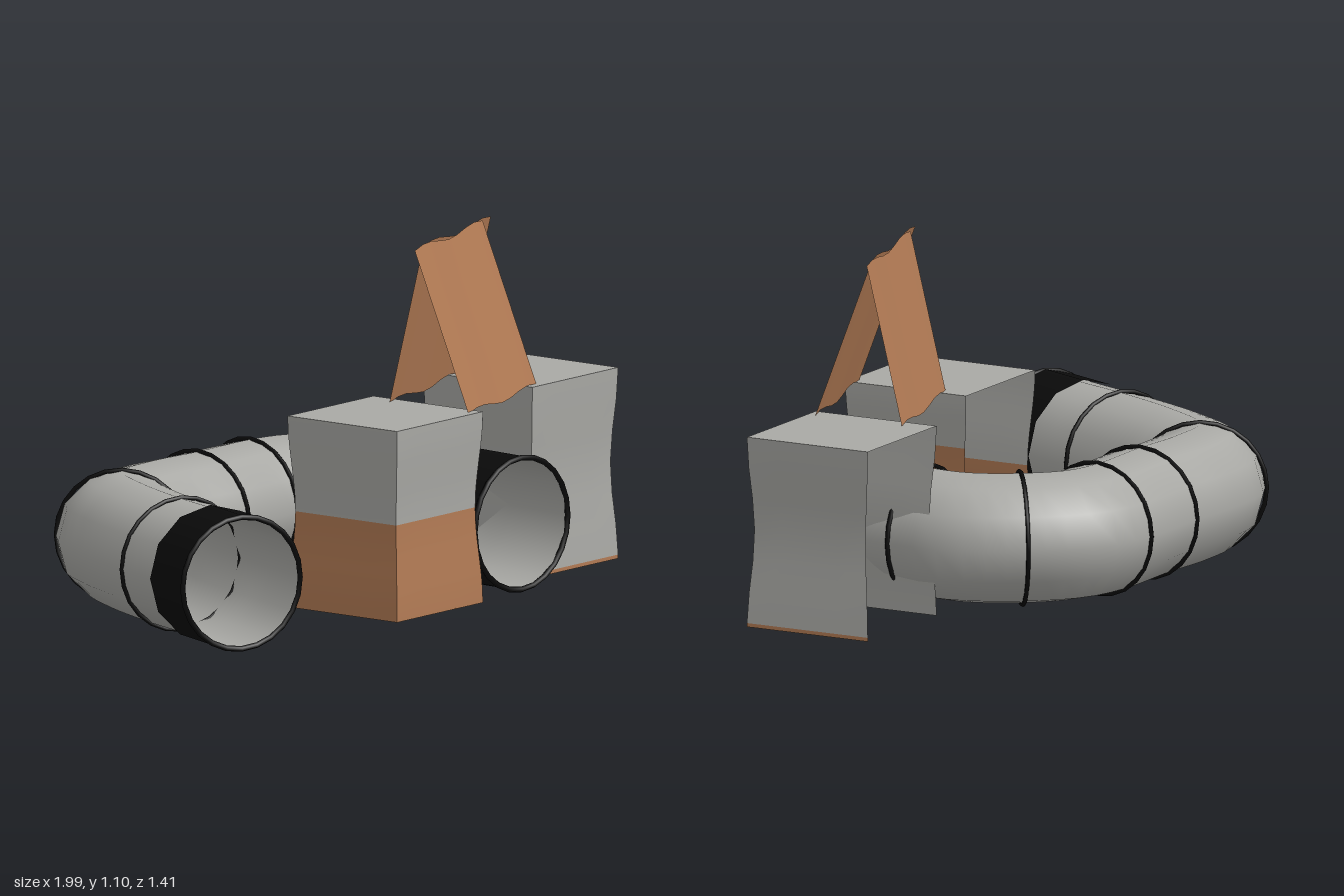
import * as THREE from 'three';

const DS = THREE.DoubleSide;
const grey = new THREE.MeshStandardMaterial({ color: 0xa9a9a5, side: DS, name: 'grey fabric' });
const orange = new THREE.MeshStandardMaterial({ color: 0xb17a54, side: DS, name: 'orange fabric' });
const black = new THREE.MeshStandardMaterial({ color: 0x0a0a0a, name: 'black trim' });

function add(parent, name, geo, mat) {
  const m = new THREE.Mesh(geo, mat);
  m.name = name;
  parent.add(m);
  return m;
}

// Sheet whose points follow f(u, v) -> [x, y, z]
function sheet(nu, nv, f) {
  const g = new THREE.PlaneGeometry(1, 1, nu, nv);
  const p = g.attributes.position;
  for (let i = 0; i < p.count; i++) p.setXYZ(i, ...f(p.getX(i) + 0.5, p.getY(i) + 0.5));
  g.computeVertexNormals();
  return g;
}

const H = 0.6, W = 0.215;

// Fabric cube, open at the back; splits give the height of the orange band per wall
function cube(name, x, z, splits, hasFloor) {
  const g = new THREE.Group();
  g.name = name;
  const walls = [
    ['frontWall', [-W, W], [W, W]],
    ['rightWall', [-W, -W], [-W, W]],
    ['leftWall', [W, W], [W, -W]],
  ];
  walls.forEach(([wallName, a, b], i) => {
    const part = (y0, y1) => sheet(4, 6, (u, v) => {
      const y = y0 + (y1 - y0) * v;
      const k = 1 - 0.08 * Math.sin(Math.PI * y / H) ** 2;   // slightly drawn-in waist
      return [(a[0] + (b[0] - a[0]) * u) * k, y, (a[1] + (b[1] - a[1]) * u) * k];
    });
    if (splits[i] > 0) add(g, wallName + 'Lower', part(0, splits[i]), orange);
    add(g, wallName + 'Upper', part(splits[i], H), grey);
  });
  const flat = y => sheet(1, 1, (u, v) => [(u * 2 - 1) * W, y, (1 - v * 2) * W]);
  add(g, 'top', flat(H), grey);
  if (hasFloor) add(g, 'floor', flat(0.002), orange);
  g.position.set(x, 0, z);
  g.rotation.y = 0.43;
  return g;
}

// Leaning roof panel: along the ridge from u0 to u1, across from v0 (bottom) to v1 (top)
function panel(u0, u1, v0, v1) {
  return sheet(8, 4, (s, t) => {
    const u = u0 + (u1 - u0) * s;
    const v = v0 + (v1 - v0) * t;
    const wave = 0.01 * Math.sin(s * 9);
    return [0.77 * u + 0.64 * v, 0.595 + 0.5 * t + wave, -0.64 * u + 0.77 * v];
  });
}

export function createModel() {
  const model = new THREE.Group();
  model.name = 'playTunnelSet';

  model.add(cube('splitCube', -0.005, 0.165, [0.3, 0.3, 0.43], true));
  model.add(cube('greyCube', 0.71, -0.31, [0.012, 0, 0.012], false));

  // Peaked roof
  const roof = new THREE.Group();
  roof.name = 'roof';
  add(roof, 'frontRoofPanel', panel(0.01, 0.545, 0.352, 0.172), orange);
  add(roof, 'backRoofPanel', panel(0.083, 0.62, 0.056, 0.168), orange);
  model.add(roof);

  // Curved tunnel
  const tunnel = new THREE.Group();
  tunnel.name = 'tunnel';
  const path = [
    [-0.77, 0.68], [-0.775, 0.48], [-0.785, 0.3], [-0.775, 0.0], [-0.73, -0.2], [-0.57, -0.305],
    [-0.375, -0.38], [-0.135, -0.49], [0, -0.515], [0.14, -0.465], [0.27, -0.36], [0.33, -0.22],
    [0.385, -0.04], [0.46, 0.18],
  ].map(([x, z]) => new THREE.Vector3(x, 0.218, z));
  const n = path.length - 1;
  const curve = new THREE.CatmullRomCurve3(path);
  add(tunnel, 'tunnelTube', new THREE.TubeGeometry(curve, 56, 0.205, 12), grey);

  // Black end sleeves
  for (const [name, a, b] of [['rightSleeve', 0, 1], ['leftSleeve', n - 1, n]]) {
    const pts = [0, 0.33, 0.67, 1].map(t => curve.getPoint((a + (b - a) * t) / n));
    const sleeve = new THREE.CatmullRomCurve3(pts);
    add(tunnel, name, new THREE.TubeGeometry(sleeve, 4, 0.213, 12), black);
  }

  // Hoops and end rims
  for (const i of [0, 2, 4, 6, 7, 9, 11, n]) {
    const end = i === 0 || i === n;
    const hoop = add(tunnel, end ? 'endRim' : 'hoop',
      new THREE.TorusGeometry(0.207, end ? 0.009 : 0.007, 6, 24), black);
    hoop.position.copy(curve.getPoint(i / n));
    hoop.quaternion.setFromUnitVectors(new THREE.Vector3(0, 0, 1), curve.getTangent(i / n));
  }
  model.add(tunnel);
  return model;
}
